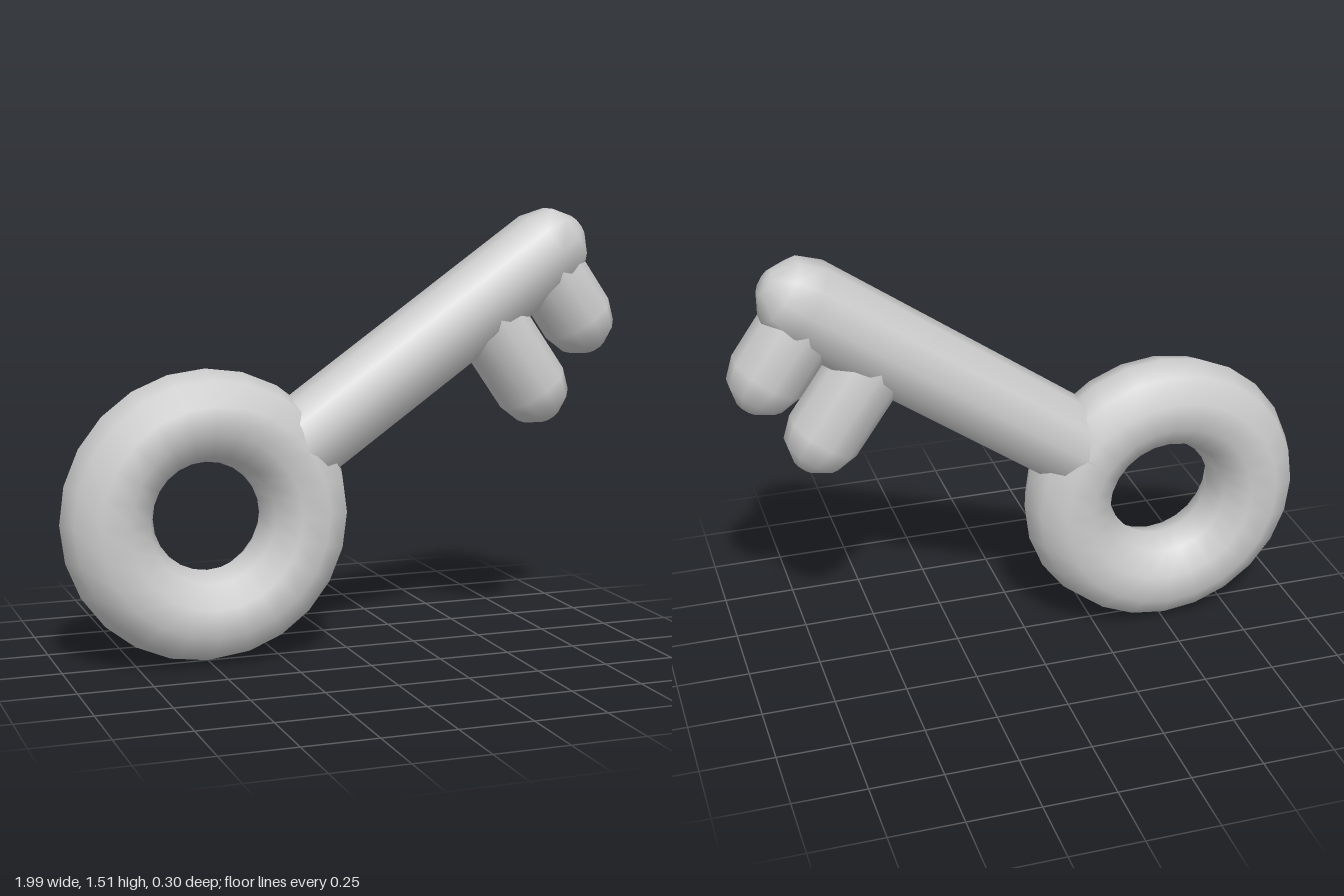
import * as THREE from 'three';

const SIDES = 10;
const TILT = THREE.MathUtils.degToRad(35);

// Round-ended rod along +y: cap centres at y = 0 and y = length
function rodGeometry(radius, length) {
  const profile = [new THREE.Vector2(0, -radius * 0.965)];
  for (let i = -2; i <= 2; i++) {
    const a = (i * Math.PI) / 5;
    const p = new THREE.Vector2(radius * Math.cos(a), radius * Math.sin(a));
    if (i > 0) p.y += length;
    if (i === 0) {
      profile.push(p, new THREE.Vector2(radius, length));
    } else {
      profile.push(p);
    }
  }
  profile.push(new THREE.Vector2(0, length + radius * 0.965));
  return new THREE.LatheGeometry(profile, SIDES);
}

export function createModel() {
  const model = new THREE.Group();
  model.name = 'key';
  const material = new THREE.MeshStandardMaterial({ color: 0xcccccc });

  // Key frame: origin at the ring centre, +x along the shaft
  const key = new THREE.Group();
  key.name = 'tiltedKey';
  key.position.set(-0.5, 0.5, 0);
  key.rotation.z = TILT;
  model.add(key);

  const add = (name, geometry, x = 0, turn = 0) => {
    const mesh = new THREE.Mesh(geometry, material);
    mesh.name = name;
    mesh.position.x = x;
    mesh.rotation.z = turn;
    key.add(mesh);
    return mesh;
  };

  // Ring handle, kept upright so its facets follow the vertical
  add('ringHandle', new THREE.TorusGeometry(0.342, 0.157, SIDES, 24), 0, -TILT);

  // Shaft, starting inside the ring
  add('shaft', rodGeometry(0.15, 1.175), 0.34, -Math.PI / 2);

  // Two teeth hanging square to the shaft
  add('longTooth', rodGeometry(0.13, 0.371), 1.2, Math.PI);
  add('shortTooth', rodGeometry(0.13, 0.274), 1.48, Math.PI);

  return model;
}
